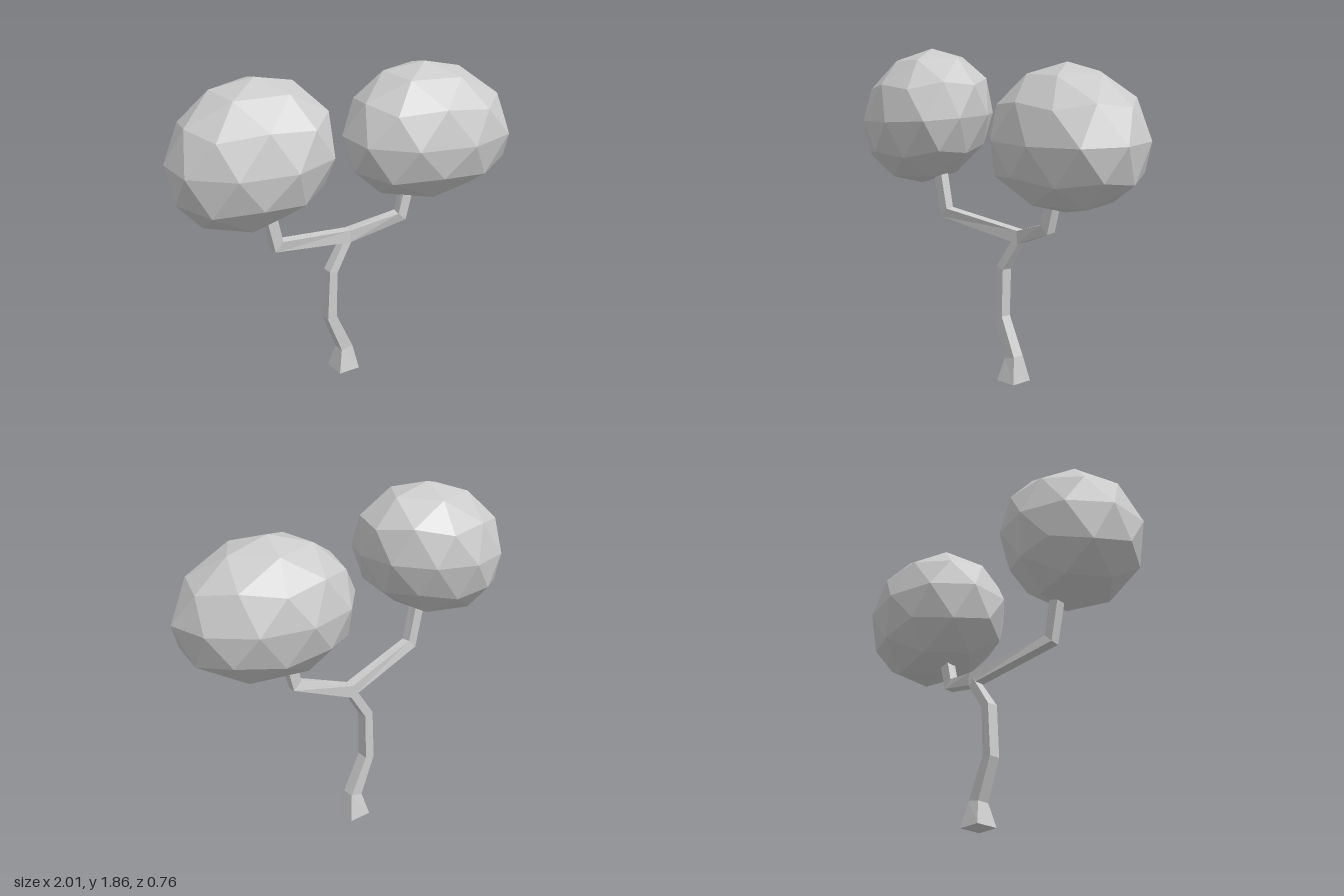
import * as THREE from 'three';

const material = new THREE.MeshStandardMaterial({ color: 0xcccccc, flatShading: true });

// Rectangular limb with mitred joints; each point is [x, y, z, halfWidth, halfDepth]
function limb(name, points) {
  const centres = points.map(([x, y, z]) => new THREE.Vector3(x, y, z));
  const last = centres.length - 1;
  const positions = [];
  const index = [];
  centres.forEach((c, i) => {
    const before = c.clone().sub(centres[Math.max(i - 1, 0)]).normalize();
    const after = centres[Math.min(i + 1, last)].clone().sub(c).normalize();
    const t = before.clone().add(after).normalize();
    const miter = 1 / t.dot(i < last ? after : before);
    const b = new THREE.Vector3(0, 0, 1).addScaledVector(t, -t.z).normalize();
    const n = new THREE.Vector3().crossVectors(b, t);
    const [, , , width, depth] = points[i];
    for (const [u, v] of [[1, 1], [-1, 1], [-1, -1], [1, -1]]) {
      const p = c.clone().addScaledVector(n, u * width * miter).addScaledVector(b, v * depth);
      // A limb that starts on the ground is cut level
      positions.push(p.x, c.y === 0 ? 0 : p.y, p.z);
    }
    if (i === last) return;
    for (let k = 0; k < 4; k++) {
      const a = i * 4 + k;
      const d = i * 4 + (k + 1) % 4;
      index.push(a, d, a + 4, d, d + 4, a + 4);
    }
  });
  // End caps
  const e = last * 4;
  index.push(0, 2, 1, 0, 3, 2, e, e + 1, e + 2, e, e + 2, e + 3);
  const geometry = new THREE.BufferGeometry();
  geometry.setAttribute('position', new THREE.Float32BufferAttribute(positions, 3));
  geometry.setIndex(index);
  const flat = geometry.toNonIndexed();
  flat.computeVertexNormals();
  const mesh = new THREE.Mesh(flat, material);
  mesh.name = name;
  return mesh;
}

// Faceted crown: a pole-up icosphere whose vertices are moved by a rule
function crown(name, rule) {
  const geometry = new THREE.IcosahedronGeometry(1, 1);
  geometry.rotateX(-Math.atan((1 + Math.sqrt(5)) / 2));
  geometry.rotateY(Math.PI / 2);
  const pos = geometry.attributes.position;
  for (let i = 0; i < pos.count; i++) {
    pos.setXYZ(i, ...rule(pos.getX(i), pos.getY(i), pos.getZ(i)));
  }
  geometry.computeVertexNormals();
  const mesh = new THREE.Mesh(geometry, material);
  mesh.name = name;
  return mesh;
}

export function createModel() {
  const tree = new THREE.Group();
  tree.name = 'tree';

  // Crooked trunk with a flared foot
  tree.add(limb('trunk', [
    [0.031, 0, -0.091, 0.066, 0.066],
    [0.033, 0.14, -0.09, 0.036, 0.035],
    [-0.063, 0.36, -0.092, 0.029, 0.032],
    [-0.052, 0.645, -0.094, 0.025, 0.033],
    [0.063, 0.822, -0.105, 0.024, 0.025],
  ]));

  // Forked branches running up into both crowns
  tree.add(limb('branches', [
    [-0.505, 1.22, -0.01, 0.031, 0.027],
    [-0.44, 0.928, -0.01, 0.029, 0.027],
    [0.07, 0.834, -0.105, 0.034, 0.029],
    [0.362, 0.927, -0.01, 0.029, 0.027],
    [0.422, 1.16, -0.01, 0.031, 0.027],
  ]));

  // Left crown: broad, narrowing to the top
  tree.add(crown('leftCrown', (x, y, z) => [
    0.5 + 0.01 * (1 - y * y) + 0.025 * z * z + 0.045 * z + x * (0.49 + 0.03 * z) * (1 - 0.11 * y),
    1.417 + 0.385 * y - 0.015 * z,
    0.378 * z,
  ]));

  // Right crown: leaning, with a flattened inner side
  tree.add(crown('rightCrown', (x, y, z) => [
    Math.min(-0.18, -0.597 + 0.04 * z + 0.045 * z * z + 0.05 * y + x * (0.43 + 0.03 * z)),
    1.472 + 0.391 * y + 0.02 * x - 0.01 * z,
    0.378 * z,
  ]));

  return tree;
}
